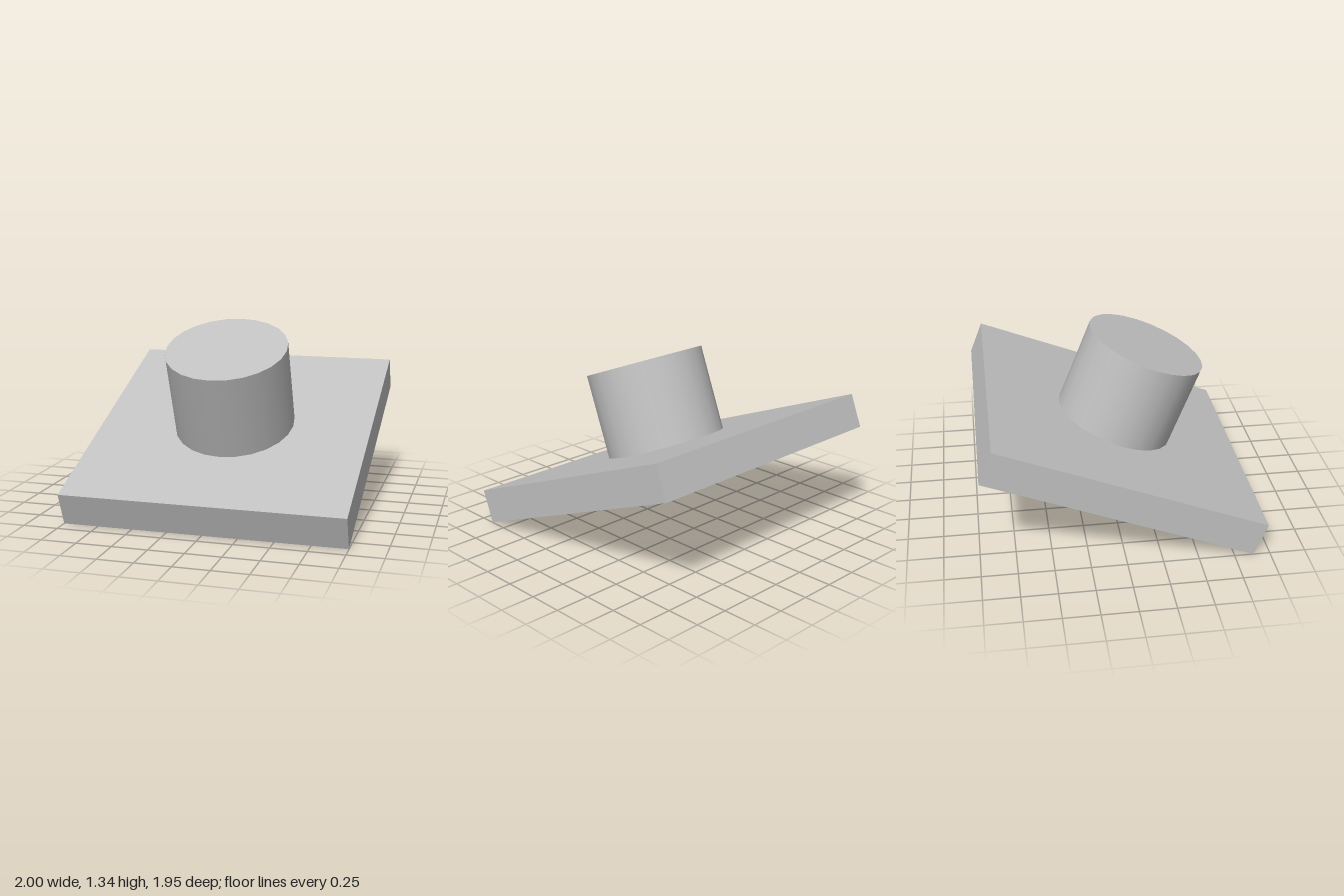
import * as THREE from 'three';

export function createModel() {
  const grey = new THREE.MeshStandardMaterial({ color: 0xc0c0c0 });
  grey.name = 'plain grey';

  const width = 2, thickness = 0.25;
  const radius = 0.437, height = 0.627;
  const tilt = THREE.MathUtils.degToRad(21.5);

  // Square slab
  const slab = new THREE.Mesh(new THREE.BoxGeometry(width, thickness, width), grey);
  slab.name = 'slab';

  // Round post standing in the middle of the slab
  const post = new THREE.Mesh(new THREE.CylinderGeometry(radius, radius, height, 24), grey);
  post.name = 'post';
  post.position.y = (thickness + height) / 2;

  // Both lean forward together, with the lower front edge on the ground
  const tilted = new THREE.Group();
  tilted.name = 'tiltedBlock';
  tilted.add(slab, post);
  tilted.rotation.x = tilt;
  tilted.position.y = (width * Math.sin(tilt) + thickness * Math.cos(tilt)) / 2;

  const model = new THREE.Group();
  model.name = 'slabWithPost';
  model.add(tilted);
  return model;
}
